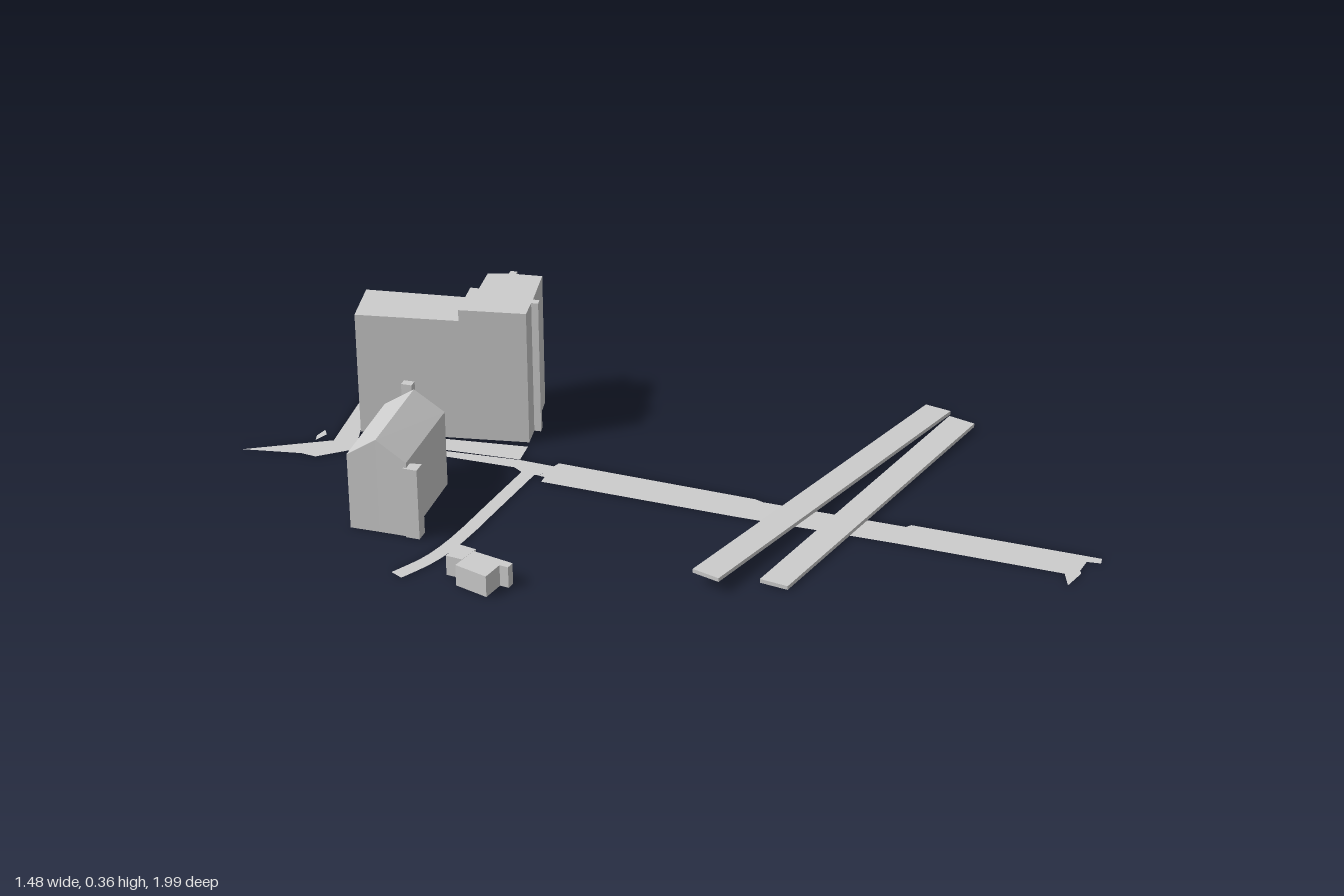
import * as THREE from 'three';
import { mergeGeometries } from 'three/addons/utils/BufferGeometryUtils.js';

const grey = new THREE.MeshStandardMaterial({ color: 0xcccccc, side: THREE.DoubleSide });
grey.name = 'plain grey';

// Flat quad from four [x, y, z] corners
function quad(a, b, c, d) {
  const g = new THREE.BufferGeometry();
  g.setAttribute('position', new THREE.Float32BufferAttribute([a, b, c, a, c, d].flat(), 3));
  g.computeVertexNormals();
  return g;
}

// Flat polygon at height y from [x, z] points
function cap(points, y) {
  const shape = new THREE.Shape(points.map(([x, z]) => new THREE.Vector2(x, -z)));
  const g = new THREE.ShapeGeometry(shape).rotateX(-Math.PI / 2).translate(0, y, 0).toNonIndexed();
  g.deleteAttribute('uv');
  return g;
}

// Vertical walls around an outline listed anticlockwise from above; top(i) gives each height
function walls(points, top, base = 0) {
  return points.map(([x, z], i) => {
    const j = (i + 1) % points.length;
    const [u, w] = points[j];
    return quad([x, base, z], [u, base, w], [u, top(j), w], [x, top(i), z]);
  });
}

// Order an outline so that its walls face outwards
function outward(points) {
  const v = points.map(([x, z]) => new THREE.Vector2(x, -z));
  return THREE.ShapeUtils.isClockWise(v) ? points.slice().reverse() : points;
}

export function createModel() {
  const model = new THREE.Group();
  const add = (name, parts) => {
    const mesh = new THREE.Mesh(mergeGeometries(parts), grey);
    mesh.name = name;
    model.add(mesh);
  };
  const sheet = (name, points, y = 0.001) => add(name, [cap(points, y)]);
  // Hollow block with an open underside
  const block = (name, outline, h) => {
    const p = outward(outline);
    add(name, [cap(p, h), ...walls(p, () => h)]);
  };

  // Main road, from the fork at the back to the front end
  sheet('roadFork', [[-0.54, -0.98], [-0.36, -0.835], [-0.055, -0.99], [-0.325, -0.785],
    [-0.36, -0.76], [-0.45, -0.81], [-0.46, -0.85]], 0);
  sheet('trafficIsland', [[-0.39, -0.87], [-0.37, -0.885], [-0.335, -0.89], [-0.35, -0.87]]);
  sheet('upperRoad', [[-0.365, -0.79], [-0.33, -0.785], [-0.24, -0.61], [-0.14, -0.4], [-0.11, -0.31],
    [-0.17, -0.31], [-0.185, -0.35], [-0.177, -0.385], [-0.26, -0.595], [-0.34, -0.76]]);
  sheet('forecourt', [[-0.325, -0.78], [-0.277, -0.805], [-0.077, -0.43], [-0.14, -0.4], [-0.235, -0.61]], 0.002);
  sheet('lowerRoad', [[-0.17, -0.31], [-0.09, -0.315], [0.077, 0.177], [0.077, 0.2], [0.2, 0.54],
    [0.215, 0.545], [0.37, 0.985], [0.35, 0.995], [0.335, 0.965], [0.29, 0.975], [0.145, 0.57], [0, 0.195]], 0);
  sheet('upperVerge', [[-0.19, -0.285], [-0.165, -0.295], [0, 0.195], [-0.024, 0.19]]);
  sheet('lowerVerge', [[-0.024, 0.19], [0, 0.195], [0.145, 0.57], [0.29, 0.975], [0.28, 0.985],
    [0.215, 0.99], [0.255, 0.955], [0.12, 0.57]]);

  // Curved footpath
  const path = new THREE.CatmullRomCurve3([[-0.74, -0.248], [-0.64, -0.237], [-0.53, -0.25], [-0.36, -0.292], [-0.17, -0.34]]
    .map(([x, z]) => new THREE.Vector3(x, 0, z)));
  const near = [], far = [];
  for (let i = 0; i <= 10; i++) {
    const p = path.getPoint(i / 10), t = path.getTangent(i / 10).multiplyScalar(0.018);
    near.push([p.x - t.z, p.z + t.x]);
    far.unshift([p.x + t.z, p.z - t.x]);
  }
  sheet('footpath', [...near, ...far], 0.002);

  // Two sloping bridge decks; heights follow the corner order
  const deck = (name, outline, tops) => {
    const at = (k, drop) => [outline[k][0], tops[k] - drop, outline[k][1]];
    const parts = [quad(...[0, 1, 2, 3].map(k => at(k, 0))), quad(...[3, 2, 1, 0].map(k => at(k, 0.01)))];
    for (let k = 0; k < 4; k++) {
      const n = (k + 1) % 4;
      parts.push(quad(at(n, 0.01), at(n, 0), at(k, 0), at(k, 0.01)));
    }
    add(name, parts);
  };
  deck('rearBridge', [[-0.325, 0.383], [0.737, 0.295], [0.727, 0.225], [-0.33, 0.31]], [0.04, 0.014, 0.014, 0.04]);
  deck('frontBridge', [[-0.215, 0.5], [0.716, 0.383], [0.71, 0.31], [-0.23, 0.43]], [0.012, 0.016, 0.016, 0.012]);

  // Tower blocks on a low podium
  block('lowerTower', [[-0.283, -0.815], [-0.16, -0.895], [-0.025, -0.655], [-0.145, -0.59]], 0.33);
  block('tallTower', [[-0.145, -0.59], [-0.03, -0.655], [-0.02, -0.635], [0.06, -0.678], [0.092, -0.635],
    [0.107, -0.643], [0.115, -0.627], [0.102, -0.62], [0.135, -0.56], [0.018, -0.487],
    [0.025, -0.472], [0.008, -0.461], [0, -0.477], [-0.055, -0.445]], 0.36);
  block('podium', [[-0.13, -0.835], [0.065, -0.953], [0.1, -0.645], [0.06, -0.678], [-0.03, -0.635]], 0.04);

  // House with a pitched roof: outline including both ridge ends
  const house = [[-0.647, -0.49], [-0.618, -0.42], [-0.59, -0.35], [-0.343, -0.457], [-0.372, -0.53], [-0.404, -0.6]];
  const tops = [0.2, 0.25, 0.2, 0.2, 0.25, 0.2];
  const top = k => [house[k][0], tops[k], house[k][1]];
  add('houseWalls', walls(house, i => tops[i]));
  add('houseRoof', [quad(top(1), top(2), top(3), top(4)), quad(top(0), top(1), top(4), top(5))]);
  block('houseFrontColumn', [[-0.597, -0.355], [-0.573, -0.366], [-0.552, -0.335], [-0.584, -0.322]], 0.187);
  block('houseEndColumn', [[-0.385, -0.56], [-0.366, -0.568], [-0.337, -0.505], [-0.355, -0.497]], 0.2);
  block('chimney', [[-0.385, -0.56], [-0.366, -0.568], [-0.355, -0.543], [-0.375, -0.535]], 0.26);

  // Small outbuilding in two joined blocks
  block('outbuildingFront', [[-0.684, -0.11], [-0.61, -0.12], [-0.594, -0.013], [-0.615, -0.008],
    [-0.62, -0.03], [-0.678, -0.02]], 0.055);
  block('outbuildingRear', [[-0.663, -0.16], [-0.605, -0.172], [-0.597, -0.125], [-0.652, -0.118]], 0.052);
  return model;
}
